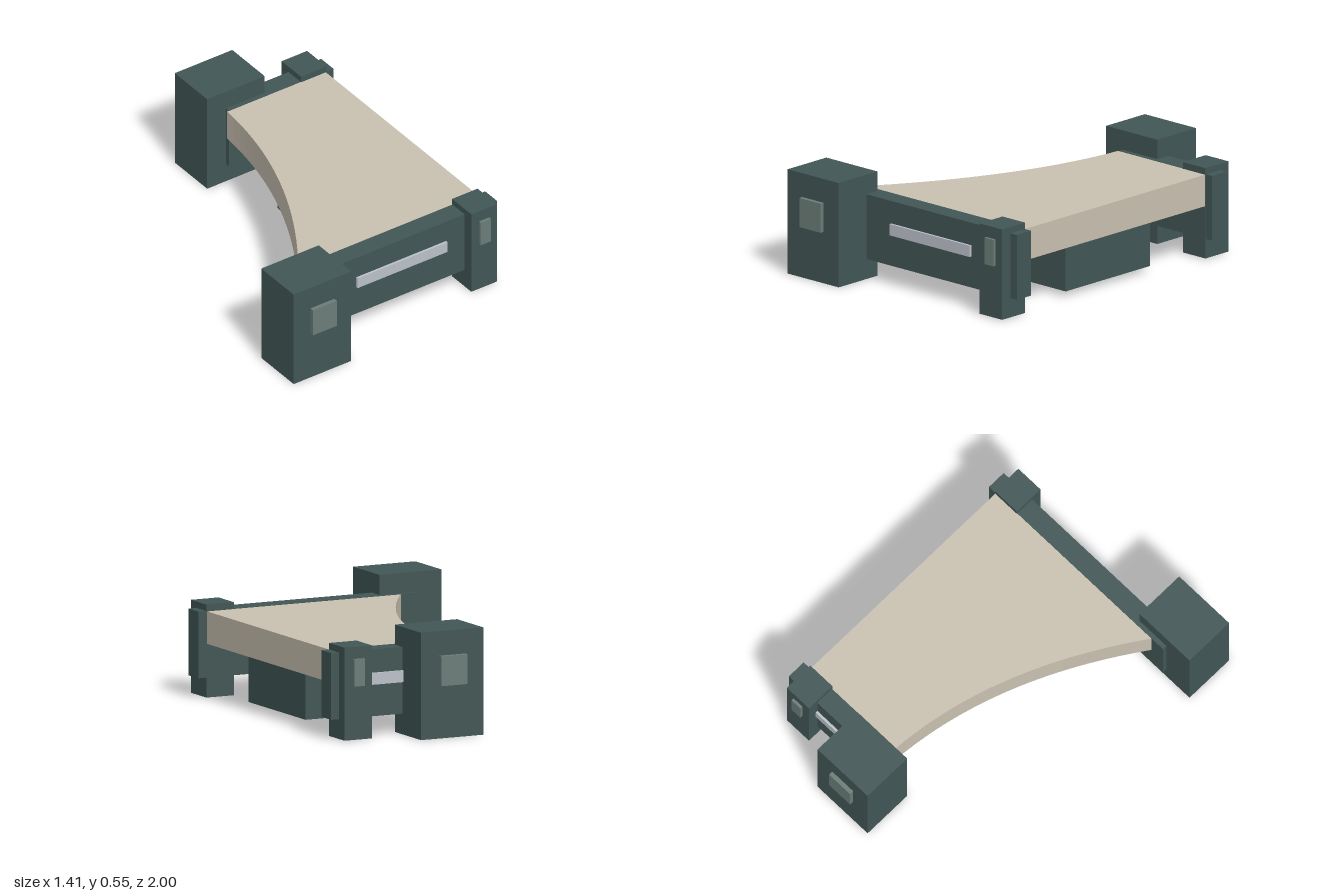
import * as THREE from 'three';

const mat = (name, color) => {
  const m = new THREE.MeshStandardMaterial({ color });
  m.name = name;
  return m;
};

export function createModel() {
  const model = new THREE.Group();
  model.name = 'bridgeDeck';
  const slate = mat('darkSlate', 0x415655);
  const sand = mat('sand', 0xc9c1b1);
  const glass = mat('greyGreen', 0x6b7d78);
  const silver = mat('silver', 0xbcc1c9);

  // Box given by its extents on each axis
  const box = (name, material, [x0, x1], [y0, y1], [z0, z1]) => {
    const mesh = new THREE.Mesh(new THREE.BoxGeometry(x1 - x0, y1 - y0, z1 - z0), material);
    mesh.position.set((x0 + x1) / 2, (y0 + y1) / 2, (z0 + z1) / 2);
    mesh.name = name;
    model.add(mesh);
  };

  // Deck slab with one concave side (shape y is -z)
  const outline = new THREE.Shape();
  outline.moveTo(-0.46, -0.67);
  outline.lineTo(0.655, -0.67);
  outline.lineTo(0.655, 0.67);
  outline.lineTo(0.045, 0.67);
  outline.quadraticCurveTo(0.008, 0, -0.46, -0.67);
  const deckGeometry = new THREE.ExtrudeGeometry(outline, { depth: 0.167, bevelEnabled: false, curveSegments: 20 });
  deckGeometry.rotateX(-Math.PI / 2);
  const deck = new THREE.Mesh(deckGeometry, sand);
  deck.position.y = 0.28;
  deck.name = 'deck';
  model.add(deck);

  // Block hung under the deck
  box('underBlock', slate, [0.105, 0.605], [0.03, 0.267], [-0.31, 0.31]);

  // Each end: rail with a light strip, a large tower and a small tower
  const ends = [
    { name: 'front', s: 1, rail: -0.54, tower: -0.705, strip: [-0.173, 0.385] },
    { name: 'rear', s: -1, rail: 0.055, tower: -0.062, strip: [0.24, 0.53] },
  ];
  for (const { name, s, rail, tower, strip } of ends) {
    const z = (a, b) => (s > 0 ? [a, b] : [-b, -a]);
    box(name + 'Rail', slate, [rail, 0.703], [0.106, 0.449], z(0.667, 0.773));
    box(name + 'LightStrip', silver, strip, [0.27, 0.33], z(0.773, 0.786));
    box(name + 'LargeTower', slate, [tower, tower + 0.357], [0, 0.552], z(0.692, 0.977));
    box(name + 'LargeWindow', glass, [tower + 0.103, tower + 0.252], [0.272, 0.426], z(0.977, 1));
    box(name + 'SmallTower', slate, [0.5, 0.658], [0.004, 0.482], z(0.664, 0.833));
    box(name + 'SmallWindow', glass, [0.547, 0.61], [0.28, 0.42], z(0.833, 0.848));
  }
  return model;
}
